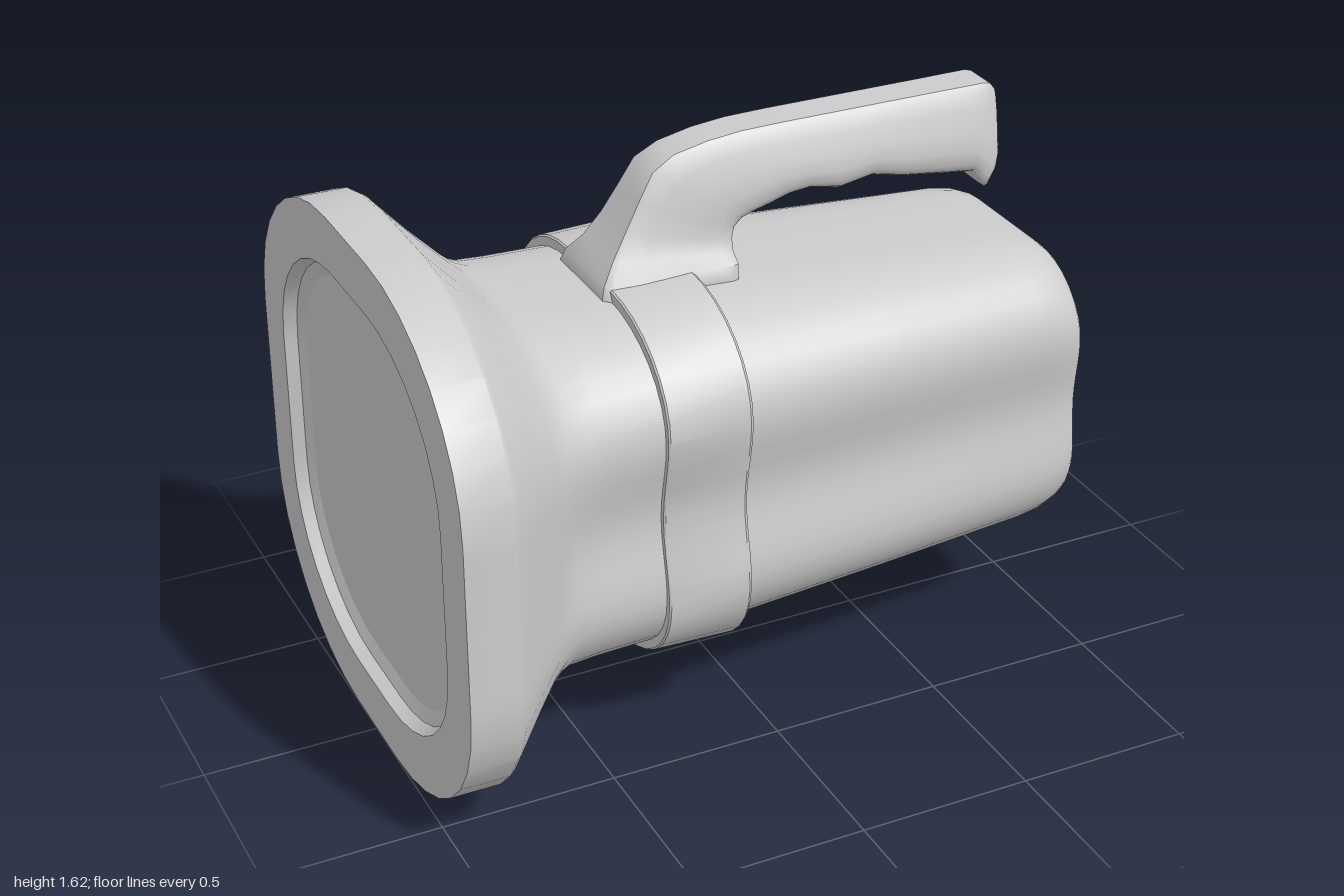
import * as THREE from 'three';
import { toCreasedNormals } from 'three/addons/utils/BufferGeometryUtils.js';

const CY = 0.76; // height of the lamp axis

// Skin a list of equal-length closed rings, with optional flat end caps
function loft(rings, capStart, capEnd, crease) {
  const n = rings[0].length, pos = [], index = [];
  rings.forEach(r => r.forEach(p => pos.push(p.x, p.y, p.z)));
  for (let i = 0; i < rings.length - 1; i++) {
    for (let j = 0; j < n; j++) {
      const k = (j + 1) % n;
      const a = i * n + j, b = i * n + k, c = a + n, d = b + n;
      index.push(a, b, c, b, d, c);
    }
  }
  const cap = (i, flip) => {
    const mid = new THREE.Vector3();
    rings[i].forEach(p => mid.addScaledVector(p, 1 / n));
    const m = pos.length / 3;
    pos.push(mid.x, mid.y, mid.z);
    for (let j = 0; j < n; j++) {
      const a = i * n + j, b = i * n + (j + 1) % n;
      if (flip) index.push(m, b, a); else index.push(m, a, b);
    }
  };
  if (capStart) cap(0, true);
  if (capEnd) cap(rings.length - 1, false);
  const g = new THREE.BufferGeometry();
  g.setAttribute('position', new THREE.Float32BufferAttribute(pos, 3));
  g.setIndex(index);
  return toCreasedNormals(g, crease);
}

// Rounded section: half height h, half width w, flat fractions fy / fz, waisted sides
function section([x, h, w, fy, fz, waist = 0]) {
  const quarter = []; // from top centre to side centre, as [y, z]
  quarter.push([h, 0]);
  for (let i = 0; i <= 8; i++) {
    const a = i / 8 * Math.PI / 2;
    quarter.push([h * (fy + (1 - fy) * Math.cos(a)), w * (fz + (1 - fz) * Math.sin(a))]);
  }
  for (let i = 1; i <= 5; i++) {
    const t = 1 - i / 5;
    quarter.push([h * fy * t, w - waist * 0.5 * (1 + Math.cos(Math.PI * t))]);
  }
  const back = quarter.slice(0, -1).reverse().map(([y, z]) => [-y, z]);
  const half = [...quarter, ...back];
  const other = half.slice(1, -1).reverse().map(([y, z]) => [y, -z]);
  return [...half, ...other].map(([y, z]) => new THREE.Vector3(x, CY + y, z));
}

export function createModel() {
  const group = new THREE.Group();
  const material = new THREE.MeshStandardMaterial({ color: 0xcccccc });
  const add = (name, geometry) => {
    const mesh = new THREE.Mesh(geometry, material);
    mesh.name = name;
    group.add(mesh);
  };

  // Flared head, tapering body and rounded tail in one skin
  add('body', loft([
    [-0.95, 0.55, 0.55, 0.34, 0.2],
    [-0.965, 0.585, 0.585, 0.34, 0.2],
    [-1, 0.6, 0.6, 0.34, 0.2],
    [-1, 0.755, 0.755, 0.33, 0.2],
    [-0.86, 0.755, 0.755, 0.33, 0.2],
    [-0.845, 0.745, 0.745, 0.33, 0.2],
    [-0.75, 0.64, 0.645, 0.36, 0.21],
    [-0.67, 0.56, 0.56, 0.4, 0.23],
    [-0.63, 0.525, 0.53, 0.42, 0.25, 0.01],
    [-0.59, 0.508, 0.51, 0.44, 0.26, 0.02],
    [-0.5, 0.502, 0.495, 0.46, 0.28, 0.03],
    [-0.33, 0.5, 0.485, 0.47, 0.28, 0.035],
    [-0.08, 0.497, 0.475, 0.47, 0.28, 0.035],
    [0.4, 0.47, 0.442, 0.48, 0.32, 0.032],
    [0.86, 0.443, 0.408, 0.48, 0.36, 0.025],
    [0.93, 0.43, 0.402, 0.48, 0.37, 0.022],
    [0.97, 0.412, 0.394, 0.48, 0.38, 0.02],
    [0.99, 0.395, 0.388, 0.48, 0.39, 0.018],
    [1, 0.375, 0.38, 0.48, 0.4, 0.015],
  ].map(section), false, true, 0.65));

  // Flat lens sunk into the rim
  add('lens', loft([section([-0.95, 0.55, 0.55, 0.34, 0.2]),
    section([-0.94, 0.55, 0.55, 0.34, 0.2])], true, false, 0.5));

  // Clamp band around the body
  add('band', loft([
    [-0.33, 0.48, 0.465, 0.47, 0.28, 0.035],
    [-0.33, 0.526, 0.5, 0.47, 0.28, 0.035],
    [-0.325, 0.53, 0.504, 0.47, 0.28, 0.035],
    [-0.095, 0.536, 0.508, 0.47, 0.28, 0.035],
    [-0.085, 0.528, 0.5, 0.47, 0.28, 0.035],
    [-0.085, 0.48, 0.455, 0.47, 0.28, 0.035],
  ].map(section), false, false, 0.65));

  // Handle stations: lower x, y, upper x, y, half width, blend from foot to grip section
  const stations = [
    [0.04, 1.2, -0.35, 1.2, 0.163, 0],
    [0.04, 1.255, -0.35, 1.265, 0.163, 0],
    [0.045, 1.29, -0.34, 1.295, 0.155, 0.05],
    [0.045, 1.315, -0.3, 1.345, 0.125, 0.2],
    [0.05, 1.345, -0.255, 1.41, 0.112, 0.4],
    [0.06, 1.37, -0.21, 1.485, 0.11, 0.65],
    [0.085, 1.39, -0.165, 1.56, 0.11, 0.85],
    [0.12, 1.4, -0.1, 1.597, 0.11, 1],
    [0.17, 1.413, 0.0, 1.618, 0.11, 1],
    [0.23, 1.432, 0.1, 1.628, 0.11, 1],
    [0.29, 1.438, 0.22, 1.63, 0.11, 1],
    [0.38, 1.42, 0.38, 1.63, 0.11, 1],
    [0.48, 1.438, 0.48, 1.63, 0.11, 1],
    [0.58, 1.415, 0.58, 1.63, 0.11, 1],
    [0.72, 1.395, 0.72, 1.63, 0.11, 1],
    [0.8, 1.385, 0.8, 1.63, 0.112, 1],
    [0.825, 1.345, 0.845, 1.63, 0.112, 1],
    [0.845, 1.33, 0.865, 1.625, 0.11, 1],
    [0.868, 1.36, 0.882, 1.605, 0.1, 1],
    [0.88, 1.4, 0.886, 1.58, 0.085, 1],
  ];
  // Section sides as [height fraction, foot width, grip width]
  const sides = [[1, 0.85, 0.48], [0.95, 0.95, 0.57], [0.75, 1, 0.74], [0.5, 1, 0.89],
    [0.28, 1, 1], [0.12, 1, 0.95], [0.04, 1, 0.86], [0, 0.97, 0.72]];
  const handleRing = ([lx, ly, ux, uy, w, blend]) => {
    const side = s => sides.map(([t, foot, grip]) => new THREE.Vector3(
      lx + (ux - lx) * t, ly + (uy - ly) * t, s * w * (foot + (grip - foot) * blend)));
    return [...side(1), ...side(-1).reverse()];
  };
  add('handle', loft(stations.map(handleRing), true, true, 0.6));

  return group;
}
